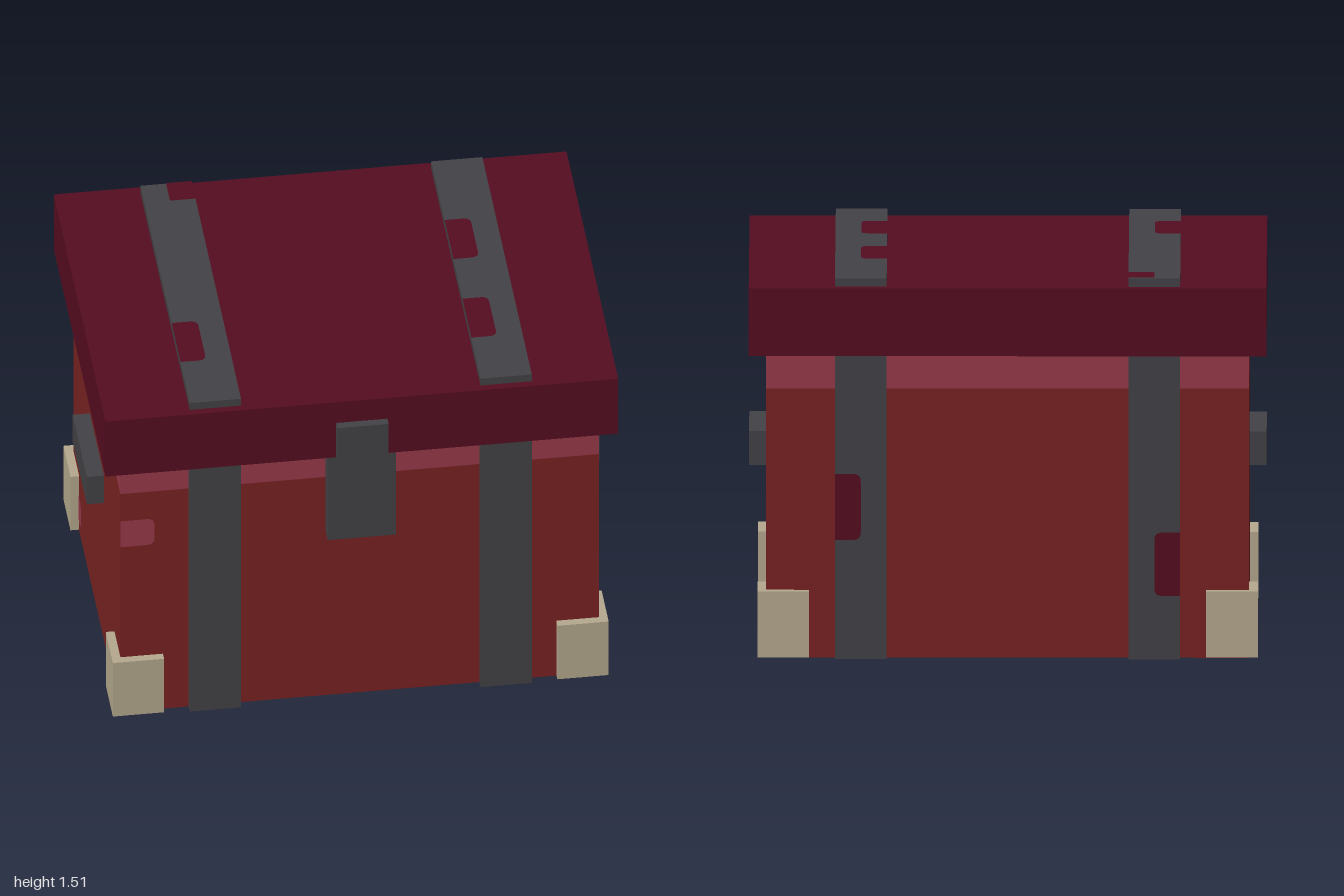
import * as THREE from 'three';

const mat = (name, color) => {
  const m = new THREE.MeshStandardMaterial({ color });
  m.name = name;
  return m;
};

export function createModel() {
  const red = mat('body red', 0x7a2222);
  const maroon = mat('lid maroon', 0x560d20);
  const rose = mat('rose', 0x993a4a);
  const iron = mat('dark iron', 0x434246);
  const bone = mat('pale corner', 0xb6aa8f);

  const chest = new THREE.Group();
  chest.name = 'chest';

  // Box given by its two extreme corners
  const box = (name, material, [x0, y0, z0], [x1, y1, z1]) => {
    const mesh = new THREE.Mesh(new THREE.BoxGeometry(x1 - x0, y1 - y0, z1 - z0), material);
    mesh.position.set((x0 + x1) / 2, (y0 + y1) / 2, (z0 + z1) / 2);
    mesh.name = name;
    chest.add(mesh);
  };

  // Flat painted patch, rounded on its local +x side, turned onto a face
  const patch = (name, material, w, h, position, rotation, r = 0.03) => {
    const s = new THREE.Shape();
    s.moveTo(-w / 2, -h / 2);
    s.lineTo(w / 2 - r, -h / 2);
    s.quadraticCurveTo(w / 2, -h / 2, w / 2, -h / 2 + r);
    s.lineTo(w / 2, h / 2 - r);
    s.quadraticCurveTo(w / 2, h / 2, w / 2 - r, h / 2);
    s.lineTo(-w / 2, h / 2);
    const mesh = new THREE.Mesh(new THREE.ShapeGeometry(s, 4), material);
    mesh.position.set(...position);
    mesh.rotation.set(...rotation);
    mesh.name = name;
    chest.add(mesh);
  };

  // Body, rim band and overhanging lid
  box('body', red, [-0.933, 0, -0.68], [0.933, 1.06, 0.65]);
  box('rimBand', rose, [-0.933, 1.06, -0.68], [0.933, 1.2, 0.65]);
  box('lid', maroon, [-1, 1.2, -0.747], [1, 1.467, 0.713]);

  for (const s of [-1, 1]) {
    // Straps over front, back and lid
    const x0 = s * 0.567 - 0.1, x1 = s * 0.567 + 0.1;
    box('frontStrap', iron, [x0, 0, 0.65], [x1, 1.2, 0.683]);
    box('backStrap', iron, [x0, 0, -0.713], [x1, 1.2, -0.68]);
    box('lidStrap', iron, [x0, 1.467, -0.713], [x1, 1.5, 0.683]);

    // Side handle
    const hx = [s * 0.933, s].sort((a, b) => a - b);
    box('handle', iron, [hx[0], 0.667, -0.213], [hx[1], 0.8, 0.187]);

    // Corner guards
    const cx = [s * 0.767, s * 0.967].sort((a, b) => a - b);
    box('frontCorner', bone, [cx[0], 0.007, 0.483], [cx[1], 0.267, 0.683]);
    box('backCorner', bone, [cx[0], 0.007, -0.713], [cx[1], 0.267, -0.513]);
  }

  // Latch plate and hasp
  box('latchPlate', iron, [-0.133, 0.8, 0.65], [0.133, 1.2, 0.713]);
  box('latchHasp', iron, [-0.1, 1.2, 0.713], [0.1, 1.367, 0.747]);

  // Worn patches on the lid straps
  const up = -Math.PI / 2, e = 0.003;
  for (const [x, z] of [[-0.617, 0.298], [0.517, 0.298], [0.517, -0.207]])
    patch('lidStrapWear', maroon, 0.1, 0.25, [x, 1.5 + e, z], [up, 0, 0]);
  patch('lidStrapWear', maroon, 0.1, 0.113, [-0.517, 1.5 + e, -0.656], [up, 0, Math.PI], 0.01);
  patch('lidStrapSideWear', maroon, 0.126, 0.033, [0.667 + e, 1.4835, 0.49], [0, Math.PI / 2, 0], 0);

  // Worn patches on the back straps
  patch('backStrapWear', maroon, 0.1, 0.26, [0.617, 0.6, -0.713 - e], [0, Math.PI, 0]);
  patch('backStrapWear', maroon, 0.1, 0.25, [-0.617, 0.375, -0.713 - e], [0, Math.PI, Math.PI]);
  patch('backStrapSideWear', maroon, 0.033, 0.2, [0.667 + e, 1.1, -0.6965], [0, Math.PI / 2, 0], 0);
  patch('backStrapSideWear', maroon, 0.033, 0.2, [0.467 - e, 1.1, -0.6965], [0, -Math.PI / 2, 0], 0);
  patch('backStrapSideWear', maroon, 0.033, 0.25, [-0.467 + e, 0.87, -0.6965], [0, Math.PI / 2, 0], 0);

  // Rose patches on the body
  patch('bodyWear', rose, 0.133, 0.126, [-0.867, 0.867, 0.65 + e], [0, 0, 0]);
  patch('sideWear', rose, 0.07, 0.12, [-0.933 - e, 0.12, -0.48], [0, -Math.PI / 2, 0]);
  patch('baseWear', rose, 0.1, 0.1, [0.6, -e, 0.6], [Math.PI / 2, 0, 0]);
  patch('baseWear', rose, 0.1, 0.1, [0.47, -e, 0.45], [Math.PI / 2, 0, 0]);

  return chest;
}
